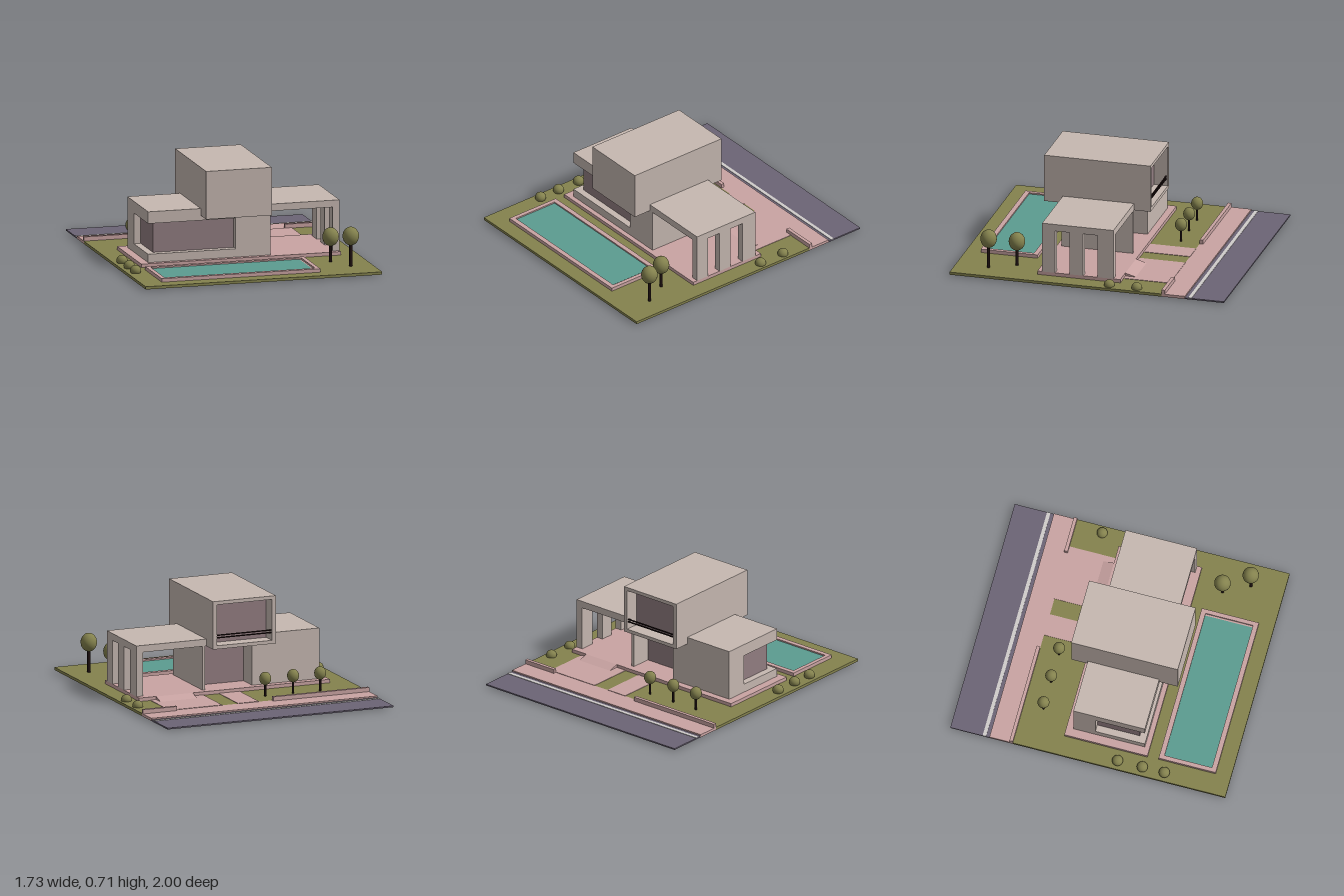
import * as THREE from 'three';

const mat = (name, color) => {
  const m = new THREE.MeshStandardMaterial({ color });
  m.name = name;
  return m;
};

export function createModel() {
  const root = new THREE.Group();
  root.name = 'modernHouse';

  const concrete = mat('concrete', 0xc6b8b1);
  const paving = mat('pinkPaving', 0xcaa4a3);
  const grass = mat('grass', 0x84824e);
  const asphalt = mat('asphalt', 0x6c6475);
  const paint = mat('roadPaint', 0xd0cdcb);
  const water = mat('water', 0x5b9c90);
  const glass = mat('tintedGlass', 0x937e82);
  const leaf = mat('foliage', 0x84824e);
  const dark = mat('darkWood', 0x1e1010);

  const group = (name) => {
    const g = new THREE.Group();
    g.name = name;
    root.add(g);
    return g;
  };
  // Box given by its extents on each axis
  const box = (parent, name, m, [x0, x1], [y0, y1], [z0, z1]) => {
    const mesh = new THREE.Mesh(new THREE.BoxGeometry(x1 - x0, y1 - y0, z1 - z0), m);
    mesh.position.set((x0 + x1) / 2, (y0 + y1) / 2, (z0 + z1) / 2);
    mesh.name = name;
    parent.add(mesh);
    return mesh;
  };

  // Ground: lawn, pavement, road
  const site = group('site');
  const full = [-0.865, 0.865];
  box(site, 'lawn', grass, full, [0, 0.02], [-0.545, 1]);
  box(site, 'pavement', paving, full, [0, 0.02], [-0.715, -0.545]);
  box(site, 'road', asphalt, full, [0, 0.01], [-1, -0.715]);
  box(site, 'roadStripe', paint, full, [0.01, 0.013], [-0.765, -0.74]);
  box(site, 'footpath', paving, [-0.03, 0.13], [0.018, 0.023], [-0.547, -0.21]);
  box(site, 'driveway', paving, [0.25, 0.655], [0.018, 0.023], [-0.547, -0.21]);
  box(site, 'streetWallRight', paving, [-0.865, -0.13], [0.02, 0.05], [-0.57, -0.545]);
  box(site, 'streetWallLeft', paving, [0.605, 0.865], [0.02, 0.05], [-0.57, -0.545]);
  box(site, 'terrace', paving, [-0.72, 0.74], [0.02, 0.045], [-0.21, 0.395]);

  // Wedge ramp up to the carport
  const wedge = new THREE.Shape();
  wedge.moveTo(-0.29, 0.022).lineTo(-0.21, 0.022).lineTo(-0.21, 0.045).closePath();
  const rampGeo = new THREE.ExtrudeGeometry(wedge, { depth: 0.28, bevelEnabled: false });
  rampGeo.rotateY(-Math.PI / 2);
  const ramp = new THREE.Mesh(rampGeo, paving);
  ramp.position.x = 0.61;
  ramp.name = 'driveRamp';
  site.add(ramp);

  // Pool: four rim strips around the water
  const pool = group('pool');
  const rimY = [0.02, 0.045];
  box(pool, 'rimFront', paving, [-0.715, 0.445], rimY, [0.855, 0.89]);
  box(pool, 'rimBack', paving, [-0.715, 0.445], rimY, [0.475, 0.51]);
  box(pool, 'rimRight', paving, [-0.715, -0.685], rimY, [0.51, 0.855]);
  box(pool, 'rimLeft', paving, [0.415, 0.445], rimY, [0.51, 0.855]);
  box(pool, 'poolStep', paving, [0.402, 0.415], [0.02, 0.033], [0.51, 0.855]);
  box(pool, 'poolWater', water, [-0.685, 0.402], [0.02, 0.035], [0.51, 0.855]);

  // Ground floor: closed core, corner window and recessed entrance
  const lower = group('groundFloor');
  const wallY = [0.045, 0.36];
  box(lower, 'roofSlab', concrete, [-0.66, 0.74], [0.36, 0.41], [-0.16, 0.36]);
  box(lower, 'coreWall', concrete, [-0.02, 0.235], wallY, [0, 0.36]);
  box(lower, 'rearWall', concrete, [-0.66, -0.145], wallY, [-0.16, 0]);
  box(lower, 'windowLintel', concrete, [-0.66, -0.02], [0.325, 0.36], [0, 0.36]);
  box(lower, 'windowSill', concrete, [-0.66, -0.02], [0.045, 0.105], [0, 0.36]);
  box(lower, 'cornerWindow', glass, [-0.61, -0.02], [0.105, 0.325], [0, 0.31]);
  box(lower, 'entranceSideWall', concrete, [0.215, 0.235], wallY, [-0.16, 0]);
  box(lower, 'entranceGlass', glass, [-0.145, 0.215], wallY, [-0.008, 0]);

  // Carport piers
  for (const z of [[-0.16, -0.045], [0.06, 0.16], [0.265, 0.36]])
    box(lower, 'carportPier', concrete, [0.69, 0.74], wallY, z);

  // Upper floor: closed box with a framed balcony at the back
  const upper = group('upperFloor');
  const ux = [-0.275, 0.205];
  const recess = [-0.28, -0.17];
  box(upper, 'upperBody', concrete, ux, [0.36, 0.705], [-0.17, 0.495]);
  box(upper, 'balconyFloor', concrete, ux, [0.36, 0.385], recess);
  box(upper, 'balconyCeiling', concrete, ux, [0.68, 0.705], recess);
  box(upper, 'balconySideRight', concrete, [-0.275, -0.245], [0.385, 0.68], recess);
  box(upper, 'balconySideLeft', concrete, [0.175, 0.205], [0.385, 0.68], recess);
  box(upper, 'balconyGlass', glass, [-0.245, 0.175], [0.385, 0.68], [-0.178, -0.17]);
  for (const y of [0.435, 0.453])
    box(upper, 'balconyRail', dark, [-0.245, 0.175], [y, y + 0.008], [-0.272, -0.264]);

  // Planting
  const plants = group('planting');
  const ball = new THREE.SphereGeometry(1, 24, 16);
  const crown = (name, x, y, z, r, ry) => {
    const mesh = new THREE.Mesh(ball, leaf);
    mesh.scale.set(r, ry, r);
    mesh.position.set(x, y, z);
    mesh.name = name;
    plants.add(mesh);
  };
  const tree = (x, z, y, r, ry, trunkR) => {
    const h = y - 0.02;
    const trunk = new THREE.Mesh(new THREE.CylinderGeometry(trunkR, trunkR, h, 12), dark);
    trunk.position.set(x, 0.02 + h / 2, z);
    trunk.name = 'treeTrunk';
    plants.add(trunk);
    crown('treeCrown', x, y, z, r, ry);
  };
  for (const z of [0.2, 0.38, 0.54]) crown('bush', -0.805, 0.038, z, 0.039, 0.036);
  for (const z of [-0.35, -0.15]) crown('bush', 0.812, 0.029, z, 0.038, 0.036);
  for (const x of [-0.56, -0.353, -0.14]) tree(x, -0.405, 0.147, 0.042, 0.047, 0.008);
  tree(0.61, 0.58, 0.2, 0.058, 0.066, 0.011);
  tree(0.705, 0.76, 0.237, 0.058, 0.066, 0.011);

  return root;
}
